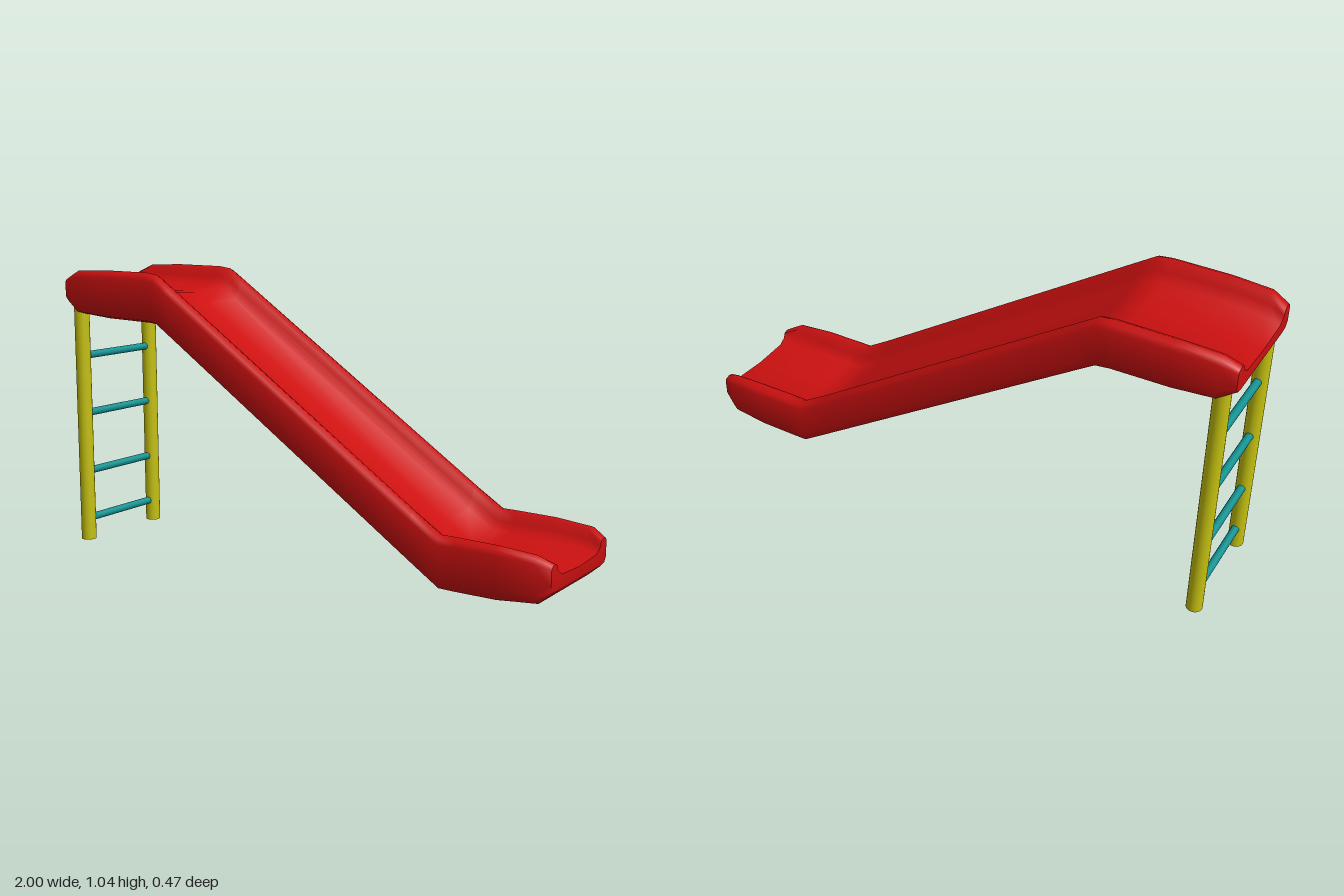
import * as THREE from 'three';
import { toCreasedNormals } from 'three/addons/utils/BufferGeometryUtils.js';

const RED = 0xcc1010, YELLOW = 0xc4c010, TEAL = 0x109090;
const material = (color) => new THREE.MeshStandardMaterial({ color });

// Half of the trough section: [share of half width, share of height, on the inside?]
const FLOOR = 0.58;
const HALF = [
  [0, 0], [0.8, 0], [0.94, 0.06], [1, 0.25], [1, 0.85], [0.97, 0.95], [0.88, 1],
  [0.8, 0.95, 1], [0.77, 0.79, 1], [0.64, 0.64, 1], [0, FLOOR, 1],
];
const SECTION = [...HALF, ...HALF.slice(1, -1).reverse().map(([w, h, inner]) => [-w, h, inner])];

// Stations along the slide: [x, bottom, top, half width, floor share]
const STATIONS = [
  [-1, 0.91, 1.0, 0.213, 0.42],
  [-0.94, 0.87, 1.03, 0.228, 0.54],
  [-0.8, 0.86, 1.037, 0.234, FLOOR],
  [-0.6, 0.856, 1.037, 0.234, FLOOR],
  [-0.55, 0.85, 1.031, 0.234, FLOOR],
  [-0.49, 0.811, 0.992, 0.234, FLOOR],
  [0.52, 0.15, 0.33, 0.234, FLOOR],
  [0.62, 0.085, 0.268, 0.234, FLOOR],
  [0.68, 0.084, 0.268, 0.234, FLOOR],
  [0.82, 0.085, 0.266, 0.234, FLOOR],
  [0.95, 0.097, 0.256, 0.228, 0.54],
  [1, 0.14, 0.23, 0.205, 0.44],
];

// Skin the section over the stations and close both ends
function slideGeometry() {
  const positions = [], index = [], n = SECTION.length;
  for (const [x, bottom, top, halfWidth, floor] of STATIONS) {
    for (const [w, h, inner] of SECTION) {
      const share = inner ? 1 - (1 - h) * (1 - floor) / (1 - FLOOR) : h;
      positions.push(x, bottom + (top - bottom) * share, w * halfWidth);
    }
  }
  for (let i = 0; i < STATIONS.length - 1; i++) {
    for (let j = 0; j < n; j++) {
      const a = i * n + j, b = i * n + (j + 1) % n;
      index.push(a, a + n, b, b, a + n, b + n);
    }
  }
  const last = (STATIONS.length - 1) * n;
  const outline = SECTION.map(([w, h]) => new THREE.Vector2(w, h));
  for (const [a, b, c] of THREE.ShapeUtils.triangulateShape(outline, [])) {
    index.push(a, b, c, last + a, last + c, last + b);
  }
  const geometry = new THREE.BufferGeometry();
  geometry.setAttribute('position', new THREE.Float32BufferAttribute(positions, 3));
  geometry.setIndex(index);
  return toCreasedNormals(geometry, 1.0);
}

export function createModel() {
  const model = new THREE.Group();
  const add = (name, geometry, color, parent = model) => {
    const mesh = new THREE.Mesh(geometry, material(color));
    mesh.name = name;
    parent.add(mesh);
    return mesh;
  };

  add('slide', slideGeometry(), RED);

  // Ladder under the platform
  const ladder = new THREE.Group();
  ladder.name = 'ladder';
  ladder.position.x = -0.95;
  model.add(ladder);
  const legHeight = 0.91, legZ = 0.183;
  for (const side of [1, -1]) {
    const leg = add(side > 0 ? 'frontLeg' : 'backLeg',
      new THREE.CylinderGeometry(0.028, 0.028, legHeight, 24), YELLOW, ladder);
    leg.position.set(0, legHeight / 2, side * legZ);
  }
  [0.08, 0.265, 0.49, 0.71].forEach((y, i) => {
    const rung = add(`rung${i + 1}`, new THREE.CylinderGeometry(0.014, 0.014, legZ * 2, 16), TEAL, ladder);
    rung.rotation.x = Math.PI / 2;
    rung.position.y = y;
  });

  return model;
}
